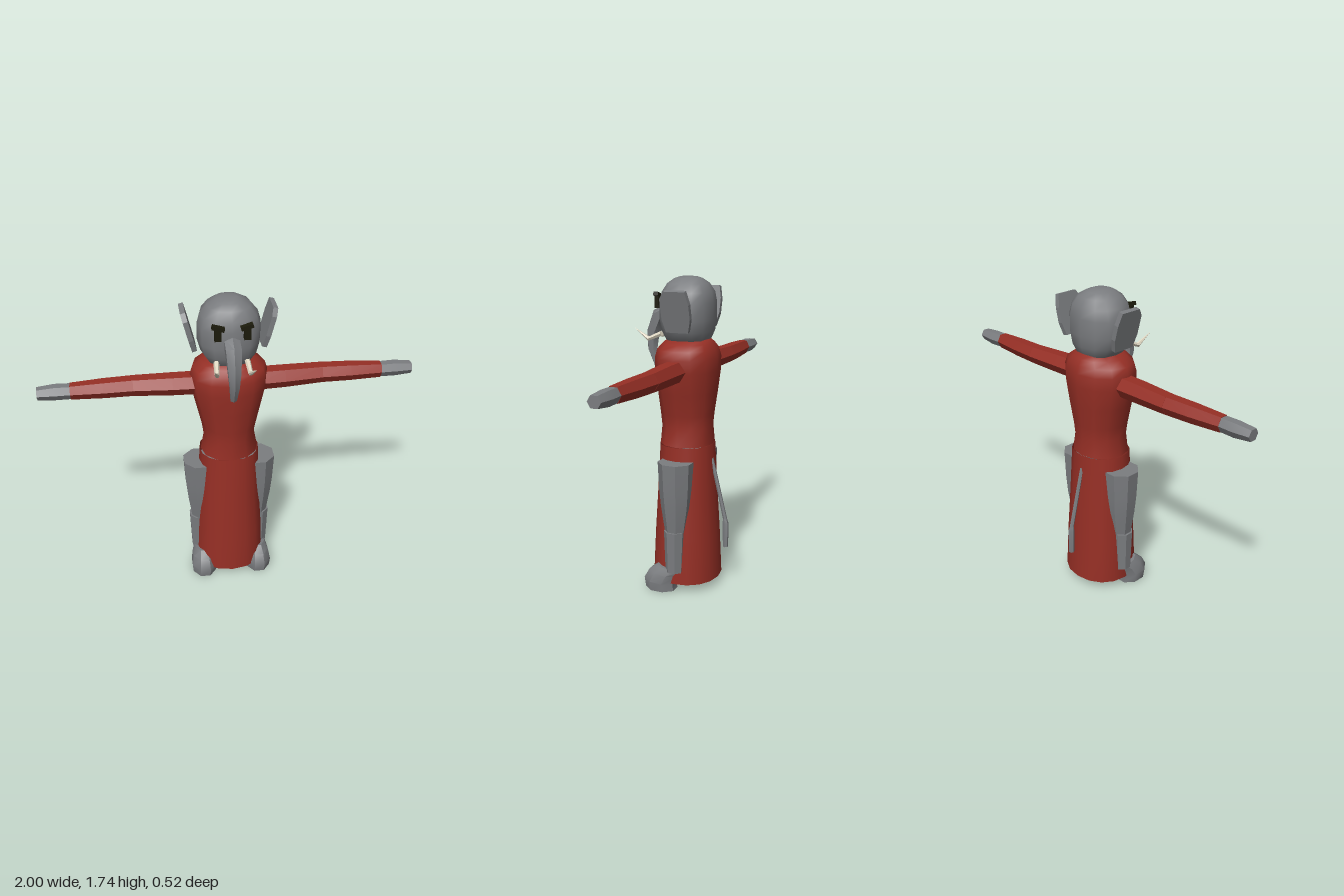
import * as THREE from 'three';
import { toCreasedNormals } from 'three/addons/utils/BufferGeometryUtils.js';

const V = (x, y, z) => new THREE.Vector3(x, y, z);
const grey = new THREE.MeshStandardMaterial({ color: 0x7b7d80 });
grey.name = 'grey skin';
const red = new THREE.MeshStandardMaterial({ color: 0x962f25, side: THREE.DoubleSide });
red.name = 'red cloth';
const ivory = new THREE.MeshStandardMaterial({ color: 0xddd5c0 });
ivory.name = 'ivory';
const dark = new THREE.MeshStandardMaterial({ color: 0x1c1b0c });
dark.name = 'dark eye';

// Skin a list of rings { c, u, v }: superellipse sections with centre c and half axes u, v
function loft(rings, { n = 8, phase = 0, pow = 2, cap = true, crease = 0.6 } = {}) {
  const pos = [], idx = [];
  const bend = (t) => Math.sign(t) * Math.abs(t) ** (2 / pow);
  for (const { c, u, v } of rings) {
    for (let i = 0; i < n; i++) {
      const a = phase + (i / n) * Math.PI * 2;
      const p = c.clone().addScaledVector(u, bend(Math.cos(a))).addScaledVector(v, bend(Math.sin(a)));
      pos.push(p.x, p.y, p.z);
    }
  }
  const along = rings[1].c.clone().sub(rings[0].c);
  const flip = rings[0].u.clone().cross(rings[0].v).dot(along) < 0;
  const tri = (a, b, c) => (flip ? idx.push(a, c, b) : idx.push(a, b, c));
  const last = (rings.length - 1) * n;
  for (let k = 0; k < last; k += n) {
    for (let i = 0; i < n; i++) {
      const j = (i + 1) % n;
      tri(k + i, k + j, k + n + j);
      tri(k + i, k + n + j, k + n + i);
    }
  }
  if (cap) {
    for (let i = 1; i < n - 1; i++) {
      tri(0, i + 1, i);
      tri(last, last + i, last + i + 1);
    }
  }
  const g = new THREE.BufferGeometry();
  g.setAttribute('position', new THREE.Float32BufferAttribute(pos, 3));
  g.setIndex(idx);
  return toCreasedNormals(g, crease);
}

// Level rings: [y, centre z, half width, half depth]
const levels = (list, x = 0) =>
  list.map(([y, z, rx, rz]) => ({ c: V(x, y, z), u: V(rx, 0, 0), v: V(0, 0, -rz) }));

// Rings across a path that bends in the side plane: [x, y, z, radius]
const bentTube = (list) => list.map(([x, y, z, r], i) => {
  const a = list[Math.max(i - 1, 0)], b = list[Math.min(i + 1, list.length - 1)];
  const v = V(0, -(b[2] - a[2]), b[1] - a[1]).normalize().multiplyScalar(r);
  return { c: V(x, y, z), u: V(r, 0, 0), v };
});

// Rings along an arm: [x, centre z, half depth, half height]
const armRings = (s, list) =>
  list.map(([x, z, rz, ry]) => ({ c: V(s * x, 1.252, z), u: V(0, 0, rz), v: V(0, ry / 0.866, 0) }));

export function createModel() {
  const model = new THREE.Group();
  model.name = 'robedElephantFigure';
  const add = (name, geo, mat, parent = model) => {
    const m = new THREE.Mesh(geo, mat);
    m.name = name;
    parent.add(m);
    return m;
  };

  // Head
  add('head', loft(levels([
    [1.36, -0.015, 0.07, 0.08], [1.40, -0.015, 0.115, 0.115], [1.45, -0.013, 0.148, 0.136],
    [1.51, -0.013, 0.164, 0.143], [1.60, -0.013, 0.164, 0.143], [1.655, -0.013, 0.148, 0.134],
    [1.70, -0.013, 0.112, 0.108], [1.725, -0.013, 0.068, 0.075], [1.735, -0.013, 0.04, 0.045],
  ]), { n: 12, pow: 2.4, crease: 1 }), grey);

  // Robe
  add('robeTop', loft(levels([
    [0.83, -0.01, 0.158, 0.146], [0.93, -0.01, 0.14, 0.139], [1.0, -0.01, 0.15, 0.145],
    [1.12, -0.012, 0.177, 0.158], [1.24, -0.012, 0.204, 0.17], [1.31, -0.012, 0.206, 0.17],
    [1.355, -0.012, 0.193, 0.158], [1.385, -0.015, 0.15, 0.138], [1.41, -0.018, 0.105, 0.115],
  ]), { n: 12, pow: 2.15, crease: 1 }), red);
  add('robeSkirt', loft(levels([
    [0.05, -0.01, 0.203, 0.19], [0.3, -0.01, 0.194, 0.178],
    [0.55, -0.01, 0.178, 0.163], [0.83, -0.01, 0.165, 0.147],
  ]), { n: 16, pow: 2.15, cap: false, crease: 1 }), red);

  // Trunk
  add('trunk', loft(bentTube([
    [0, 1.545, 0.1, 0.045], [0, 1.52, 0.16, 0.046], [0, 1.425, 0.2, 0.038],
    [0, 1.34, 0.203, 0.029], [0, 1.245, 0.172, 0.019],
  ]), { n: 6, phase: Math.PI / 2, crease: 0.7 }), grey);

  // Tail
  add('tail', loft(bentTube([[0, 0.75, -0.155, 0.01], [0, 0.39, -0.242, 0.012]]), { n: 6 }), grey);
  add('tailTuft', loft(bentTube([
    [0, 0.405, -0.238, 0.012], [0, 0.38, -0.242, 0.017], [0, 0.24, -0.243, 0.015],
  ]), { n: 6 }), grey);

  // Ear outline, thickened and turned to face sideways
  const outline = [[0.02, 0.22], [-0.1, 0.22], [-0.115, 0.15], [-0.115, 0.07],
    [-0.097, 0], [0.028, 0], [0.045, 0.07], [0.045, 0.18]];
  const earGeo = new THREE.ExtrudeGeometry(
    new THREE.Shape(outline.map(([a, b]) => new THREE.Vector2(a, b))), { depth: 0.026, bevelEnabled: false });
  earGeo.translate(0, 0, -0.013).rotateY(-Math.PI / 2);

  for (const s of [1, -1]) {
    const side = new THREE.Group();
    side.name = s > 0 ? 'leftSide' : 'rightSide';
    model.add(side);

    const ear = add('ear', earGeo, grey, side);
    ear.position.set(s * 0.18, 1.46, 0);
    ear.rotation.z = -s * 0.25;

    // Angry eye: upright bar under a slanted brow
    add('eye', new THREE.BoxGeometry(0.034, 0.065, 0.025), dark, side).position.set(s * 0.074, 1.602, 0.132);
    const brow = add('brow', new THREE.BoxGeometry(0.064, 0.02, 0.028), dark, side);
    brow.position.set(s * 0.072, 1.637, 0.132);
    brow.rotation.z = s * 0.3;

    add('tusk', loft(bentTube([
      [s * 0.08, 1.435, 0.11, 0.015], [s * 0.085, 1.403, 0.185, 0.013], [s * 0.103, 1.46, 0.258, 0.001],
    ]), { n: 6 }), ivory, side);

    // Arm: sleeve in two pieces, then the hand
    const six = { n: 6, crease: 0.3 };
    add('upperSleeve', loft(armRings(s, [
      [0.12, -0.013, 0.066, 0.053], [0.3, -0.018, 0.064, 0.052], [0.505, -0.029, 0.058, 0.047],
    ]), six), red, side);
    add('lowerSleeve', loft(armRings(s, [
      [0.5, -0.029, 0.057, 0.047], [0.66, -0.024, 0.054, 0.045], [0.83, -0.018, 0.042, 0.039],
    ]), six), red, side);
    add('hand', loft(armRings(s, [
      [0.825, -0.018, 0.041, 0.036], [0.91, -0.02, 0.043, 0.037], [1.0, -0.017, 0.036, 0.029],
    ]), six), grey, side);

    // Leg: thigh, shin and a foot that leans forward
    const eight = { n: 8, phase: Math.PI / 8, crease: 0.7 };
    add('thigh', loft(levels([
      [0.35, -0.01, 0.062, 0.06], [0.5, -0.012, 0.084, 0.084], [0.6, -0.012, 0.094, 0.093], [0.755, -0.012, 0.102, 0.1],
    ], s * 0.161), eight), grey, side);
    add('shin', loft(levels([
      [0.12, -0.008, 0.053, 0.052], [0.36, -0.01, 0.063, 0.061],
    ], s * 0.173), eight), grey, side);
    const foot = [[0.135, 0.022, 0.05, 0.082, 0.012], [0.1, 0.06, 0.068, 0.09, 0.012],
      [0.05, 0.086, 0.078, 0.095, 0.006], [0, 0.08, 0.074, 0.092, 0]];
    add('foot', loft(foot.map(([y, z, rx, vz, vy]) => (
      { c: V(s * 0.163, y, z), u: V(rx, 0, 0), v: V(0, vy, vz) })), eight), grey, side);
  }
  return model;
}
